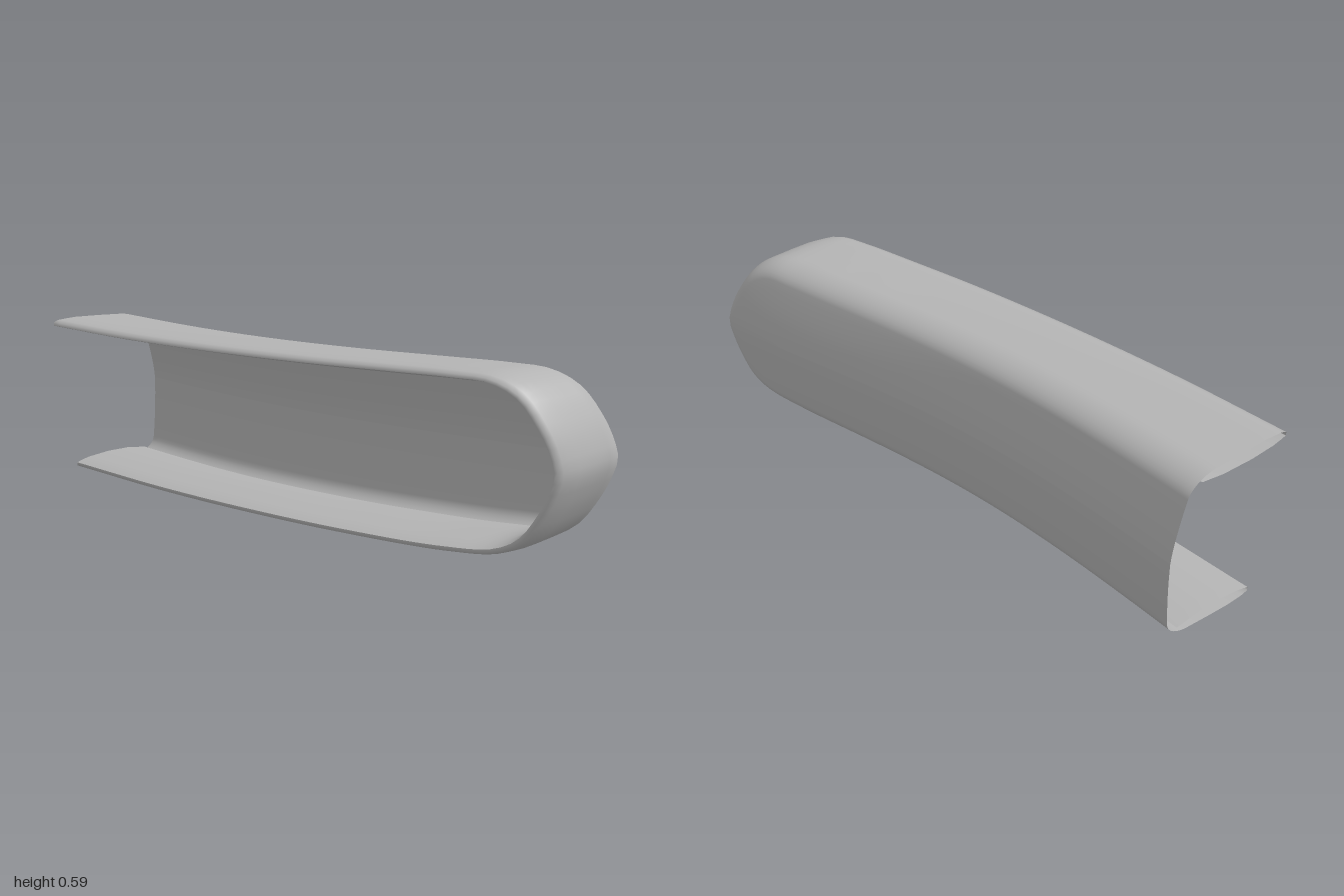
import * as THREE from 'three';

// Rim outline, seen from the front: x, y and the depth z of the rim
const OUTLINE = [
  [-1, 0.572, 0.355], [-0.6, 0.572, 0.33], [-0.2, 0.576, 0.28], [0.2, 0.583, 0.207], [0.5, 0.59, 0.135],
  [0.7, 0.593, 0.085], [0.82, 0.586, 0.052], [0.9, 0.543, 0.022], [0.96, 0.452, -0.008], [0.985, 0.39, -0.025],
  [1, 0.315, -0.036], [0.982, 0.25, -0.036], [0.95, 0.18, -0.03], [0.89, 0.092, -0.012], [0.81, 0.047, 0.01],
  [0.65, 0.026, 0.055], [0.3, 0.014, 0.135], [-0.1, 0.008, 0.205], [-0.5, 0.003, 0.25], [-1, 0, 0.28],
];
const STATIONS = 120;
const MID_Y = 0.3;

// Back panel: sweeps backwards to the closed end and bows forward above and below its middle
function backZ(x, y) {
  const u = x + 1, dy = y - MID_Y;
  const bow = dy > 0 ? 0.42 * dy ** 1.4 : 0.25 * dy * dy;
  return -0.085 - 0.0727 * u ** 3 + 0.0092 * u ** 5 + bow;
}

// Point on the centre line of the back panel that a rim point looks towards
function spine(p) {
  const t = Math.max(0, (p.x - 0.5) / 0.5);
  return new THREE.Vector2(t > 0 ? 0.5 + 0.2 * t * (2 - t) : p.x, MID_Y);
}

// Section from the rim over the outer side and rounded corner to the centre line
function outerSection(p) {
  const dir = spine(p).sub(p);
  const length = dir.length();
  dir.normalize();
  const points = [];
  const put = (inset, z) => points.push([p.x + dir.x * inset, p.y + dir.y * inset, z]);
  const back = (inset) => backZ(p.x + dir.x * inset, p.y + dir.y * inset);

  // Blunt rim
  [[0.023, 0], [0.011, 0], [0.004, 0.02], [0.002, 0.05], [0, 0.09]].forEach(([inset, dz]) => put(inset, p.z - dz));

  // Side and corner
  const rIn = 0.06, rZ = 0.09, draft = 0.008;
  put(draft * 0.4, THREE.MathUtils.lerp(p.z - 0.09, back(draft) + rZ, 0.5));
  for (let k = 0; k <= 8; k++) {
    const a = (k / 8) * Math.PI / 2;
    const inset = draft + rIn * (1 - Math.cos(a));
    put(inset, back(inset) + rZ * (1 - Math.sin(a)));
  }

  // Back panel
  for (let k = 1; k <= 8; k++) {
    const inset = THREE.MathUtils.lerp(draft + rIn, length, k / 8);
    put(inset, back(inset));
  }
  return points;
}

// Section of the inner lip, from the rounded corner forward to the rim
function lipSection(p) {
  const dir = spine(p).sub(p).normalize();
  const back = backZ(p.x + dir.x * 0.032, p.y + dir.y * 0.032) + 0.04;
  const rows = [
    [0.032, back], [0.043, THREE.MathUtils.lerp(back, p.z, 0.25)], [0.044, p.z - 0.14],
    [0.036, p.z - 0.05], [0.028, p.z - 0.016], [0.023, p.z],
  ];
  return rows.map(([inset, z]) => [p.x + dir.x * inset, p.y + dir.y * inset, z]);
}

// Join the sections of all stations into one smooth surface
function loft(path, section) {
  const rows = path.map(section);
  const n = rows[0].length;
  const index = [];
  for (let i = 0; i < rows.length - 1; i++) {
    for (let j = 0; j < n - 1; j++) {
      const a = i * n + j, b = a + n;
      index.push(a, b, a + 1, b, b + 1, a + 1);
    }
  }
  const geometry = new THREE.BufferGeometry();
  geometry.setAttribute('position', new THREE.Float32BufferAttribute(rows.flat(2), 3));
  geometry.setIndex(index);
  geometry.computeVertexNormals();
  return geometry;
}

export function createModel() {
  const grey = new THREE.MeshStandardMaterial({ color: 0xb4b4b4, side: THREE.DoubleSide });
  grey.name = 'plain grey';
  const curve = new THREE.CatmullRomCurve3(OUTLINE.map((p) => new THREE.Vector3(...p)));
  const path = curve.getSpacedPoints(STATIONS);

  const group = new THREE.Group();
  group.name = 'curvedCover';
  const add = (name, section) => {
    const mesh = new THREE.Mesh(loft(path, section), grey);
    mesh.name = name;
    group.add(mesh);
  };
  add('outerShell', outerSection);
  add('innerLip', lipSection);
  return group;
}
